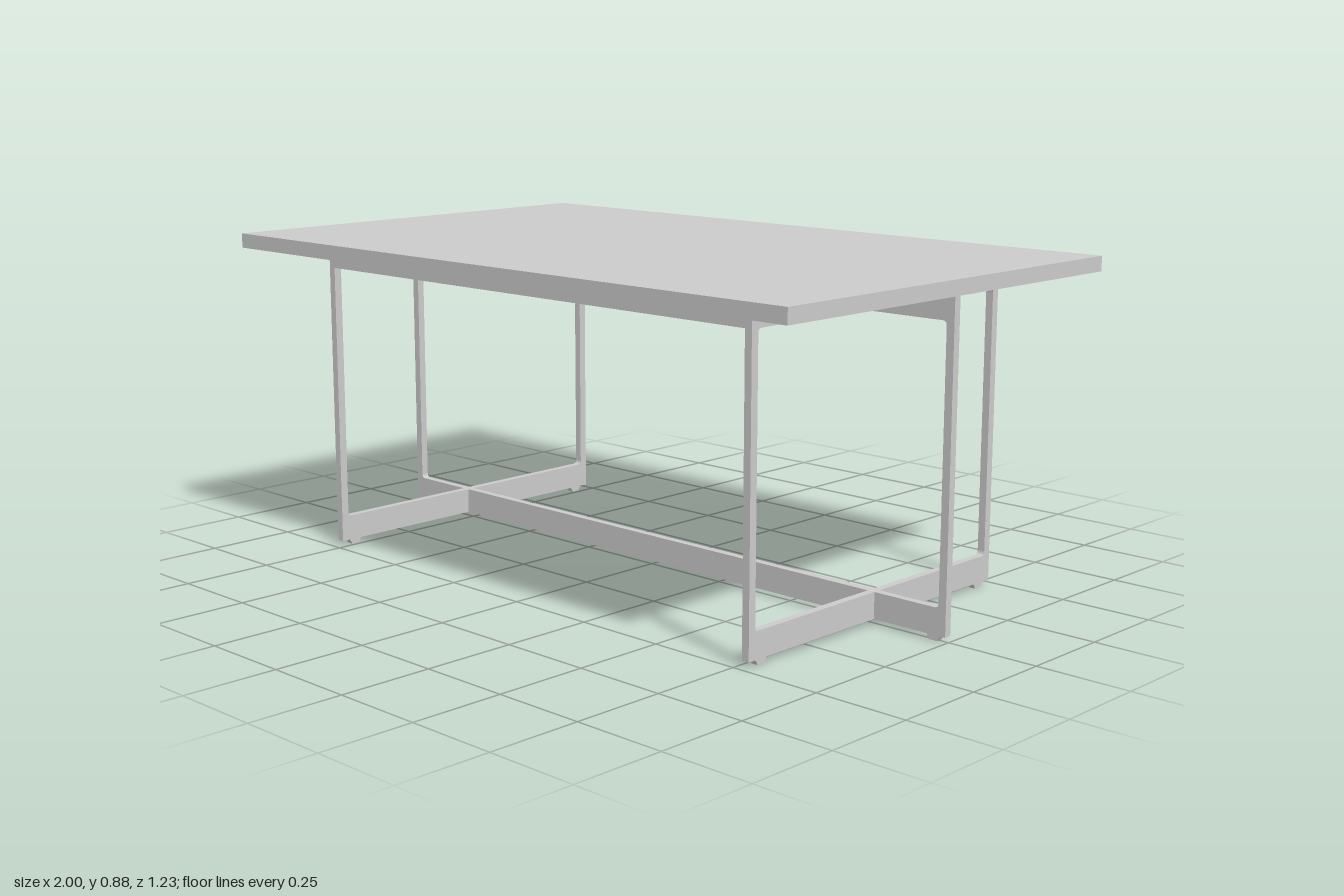
import * as THREE from 'three';

const T = 0.021; // thickness of the flat metal bars
const material = new THREE.MeshStandardMaterial({ color: 0xcccccc, side: THREE.DoubleSide });

function box(name, w, h, d, x, y, z) {
  const mesh = new THREE.Mesh(new THREE.BoxGeometry(w, h, d), material);
  mesh.name = name;
  mesh.position.set(x, y, z);
  return mesh;
}

// Extrude a shape in the XY plane, centred on z = 0
function plate(name, shape, depth) {
  const geometry = new THREE.ExtrudeGeometry(shape, { depth, bevelEnabled: false, curveSegments: 5 });
  geometry.translate(0, 0, -depth / 2);
  const mesh = new THREE.Mesh(geometry, material);
  mesh.name = name;
  return mesh;
}

function roundedOpening(x0, y0, x1, y1, r) {
  const p = new THREE.Path();
  p.moveTo(x0 + r, y0);
  p.lineTo(x1 - r, y0);
  p.quadraticCurveTo(x1, y0, x1, y0 + r);
  p.lineTo(x1, y1 - r);
  p.quadraticCurveTo(x1, y1, x1 - r, y1);
  p.lineTo(x0 + r, y1);
  p.quadraticCurveTo(x0, y1, x0, y1 - r);
  p.lineTo(x0, y0 + r);
  p.quadraticCurveTo(x0, y0, x0 + r, y0);
  return p;
}

// Closed loop frame with a deep bottom beam, slim posts and a pair of feet
function loopFrame(name, half, post, top, openTop, footX) {
  const group = new THREE.Group();
  group.name = name;
  const outline = new THREE.Shape([
    new THREE.Vector2(-half, 0.014), new THREE.Vector2(half, 0.014),
    new THREE.Vector2(half, top), new THREE.Vector2(-half, top),
  ]);
  outline.holes.push(roundedOpening(-half + post, 0.084, half - post, openTop, 0.012));
  group.add(plate('loop', outline, T));
  for (const s of [-1, 1]) {
    const foot = new THREE.Shape([
      new THREE.Vector2(-0.012, 0), new THREE.Vector2(0.012, 0),
      new THREE.Vector2(0.02, 0.014), new THREE.Vector2(-0.02, 0.014),
    ]);
    const mesh = plate('foot', foot, T * 0.9);
    mesh.position.x = s * footX;
    group.add(mesh);
  }
  return group;
}

export function createModel() {
  const table = new THREE.Group();
  table.name = 'table';

  // Flat rectangular top
  table.add(box('tableTop', 2, 0.04, 1.232, 0, 0.865, 0));

  // Long frame carrying the top along the centre line
  table.add(loopFrame('longFrame', 0.997, 0.022, 0.846, 0.785, 0.96));

  // Two cross frames
  for (const s of [-1, 1]) {
    const frame = loopFrame('crossFrame', 0.48, 0.022, 0.822, 0.797, 0.435);
    frame.rotation.y = Math.PI / 2;
    frame.position.x = s * 0.77;
    table.add(frame);
  }

  // Upper rails joining the cross frames
  for (const s of [-1, 1]) {
    table.add(box('upperRail', 1.54 - T, 0.025, T, 0, 0.8095, s * 0.4695));
  }

  return table;
}
